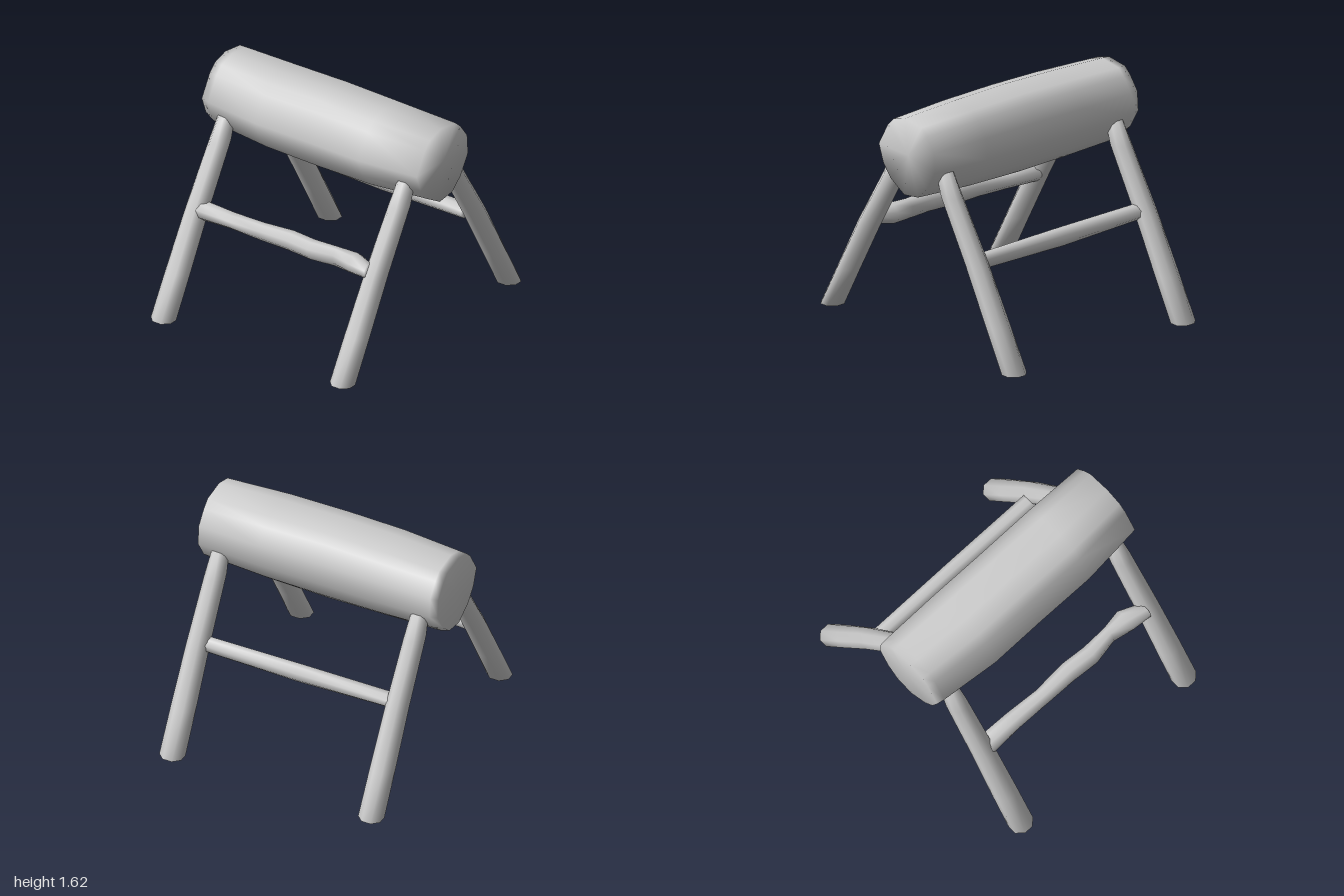
import * as THREE from 'three';

// Smooth closed skin through rings of points, with a centre point in each end cap.
// Rings run counter-clockwise when seen looking back against the direction of travel.
function loft(name, rings) {
  const n = rings[0].length;
  const pos = rings.flat(2);
  const idx = [];
  for (let i = 0; i < rings.length - 1; i++) {
    for (let j = 0; j < n; j++) {
      const a = i * n + j, b = i * n + (j + 1) % n;
      idx.push(a, b, b + n, a, b + n, a + n);
    }
  }
  const last = (rings.length - 1) * n;
  const centre = rings.length * n;
  for (const ring of [rings[0], rings[rings.length - 1]]) {
    for (let k = 0; k < 3; k++) pos.push(ring.reduce((s, p) => s + p[k], 0) / n);
  }
  for (let j = 0; j < n; j++) {
    const k = (j + 1) % n;
    idx.push(centre, k, j, centre + 1, last + j, last + k);
  }
  const g = new THREE.BufferGeometry();
  g.setAttribute('position', new THREE.Float32BufferAttribute(pos, 3));
  g.setIndex(idx);
  g.computeVertexNormals();
  const mesh = new THREE.Mesh(g, new THREE.MeshStandardMaterial({ color: 0xcccccc }));
  mesh.name = name;
  return mesh;
}

const angles = (n) => Array.from({ length: n }, (_, j) => ((j + 0.5) / n) * Math.PI * 2);

// Ring lying flat, for parts that rise along y
const flatRing = (x, y, z, rx, rz) =>
  angles(8).map((a) => [x + Math.sin(a) * rx, y, z + Math.cos(a) * rz]);

// Upright ring given by its extents, for parts that run along z
const uprightRing = ([z, x0, x1, y0, y1]) =>
  angles(8).map((a) => [
    (x0 + x1) / 2 + (Math.cos(a) * (x1 - x0)) / 1.85,
    (y0 + y1) / 2 + (Math.sin(a) * (y1 - y0)) / 1.85,
    z,
  ]);

export function createModel() {
  const model = new THREE.Group();

  // Log body: uneven section, slightly swollen in the middle
  const section = [
    [0.31, -0.04], [0.3, 0.115], [0.22, 0.225], [0.16, 0.28], [-0.02, 0.305],
    [-0.15, 0.265], [-0.21, 0.205], [-0.31, 0.025], [-0.26, -0.115],
    [-0.18, -0.215], [-0.03, -0.305], [0.12, -0.285], [0.22, -0.195],
  ];
  const stations = [
    // z, centre x, centre y, scale x, scale y
    [-0.91, 0, 1.33, 0.9, 0.88],
    [-0.85, -0.002, 1.32, 0.92, 0.92],
    [-0.42, -0.02, 1.315, 1, 0.97],
    [0, -0.02, 1.315, 0.99, 1],
    [0.45, -0.02, 1.315, 1, 0.97],
    [0.91, -0.005, 1.325, 0.92, 0.9],
  ];
  model.add(loft('log', stations.map(([z, cx, cy, sx, sy]) =>
    section.map(([x, y]) => [cx + x * sx, cy + y * sy, z]))));

  // Splayed legs, cut level at the ground
  for (const [end, z0, z1] of [['front', 0.765, 0.77], ['back', -0.745, -0.745]]) {
    for (const [side, s] of [['Left', 1], ['Right', -1]]) {
      const steps = [
        // y, distance from centre, half widths
        [0, 0.92, 0.083, 0.09],
        [0.3, 0.755, 0.083, 0.088],
        [0.68, 0.545, 0.088, 0.08],
        [1.1, 0.29, 0.085, 0.072],
        [1.26, 0.215, 0.075, 0.055],
      ];
      model.add(loft(end + side + 'Leg', steps.map(([y, x, rx, rz]) =>
        flatRing(s * x, y, z0 + (z1 - z0) * (y / 1.26), rx, rz))));
    }
  }

  // Straight left stretcher and crooked right one: z, x range, y range
  model.add(loft('leftStretcher', [
    [-0.71, 0.46, 0.57, 0.64, 0.74],
    [0, 0.465, 0.575, 0.62, 0.74],
    [0.71, 0.465, 0.575, 0.63, 0.73],
  ].map(uprightRing)));
  model.add(loft('rightStretcher', [
    [-0.71, -0.61, -0.47, 0.62, 0.74],
    [-0.45, -0.6, -0.475, 0.63, 0.73],
    [-0.2, -0.605, -0.495, 0.63, 0.745],
    [0.05, -0.61, -0.48, 0.63, 0.76],
    [0.24, -0.625, -0.495, 0.63, 0.76],
    [0.43, -0.59, -0.49, 0.63, 0.76],
    [0.58, -0.62, -0.465, 0.63, 0.76],
    [0.73, -0.635, -0.53, 0.65, 0.75],
  ].map(uprightRing)));

  return model;
}
